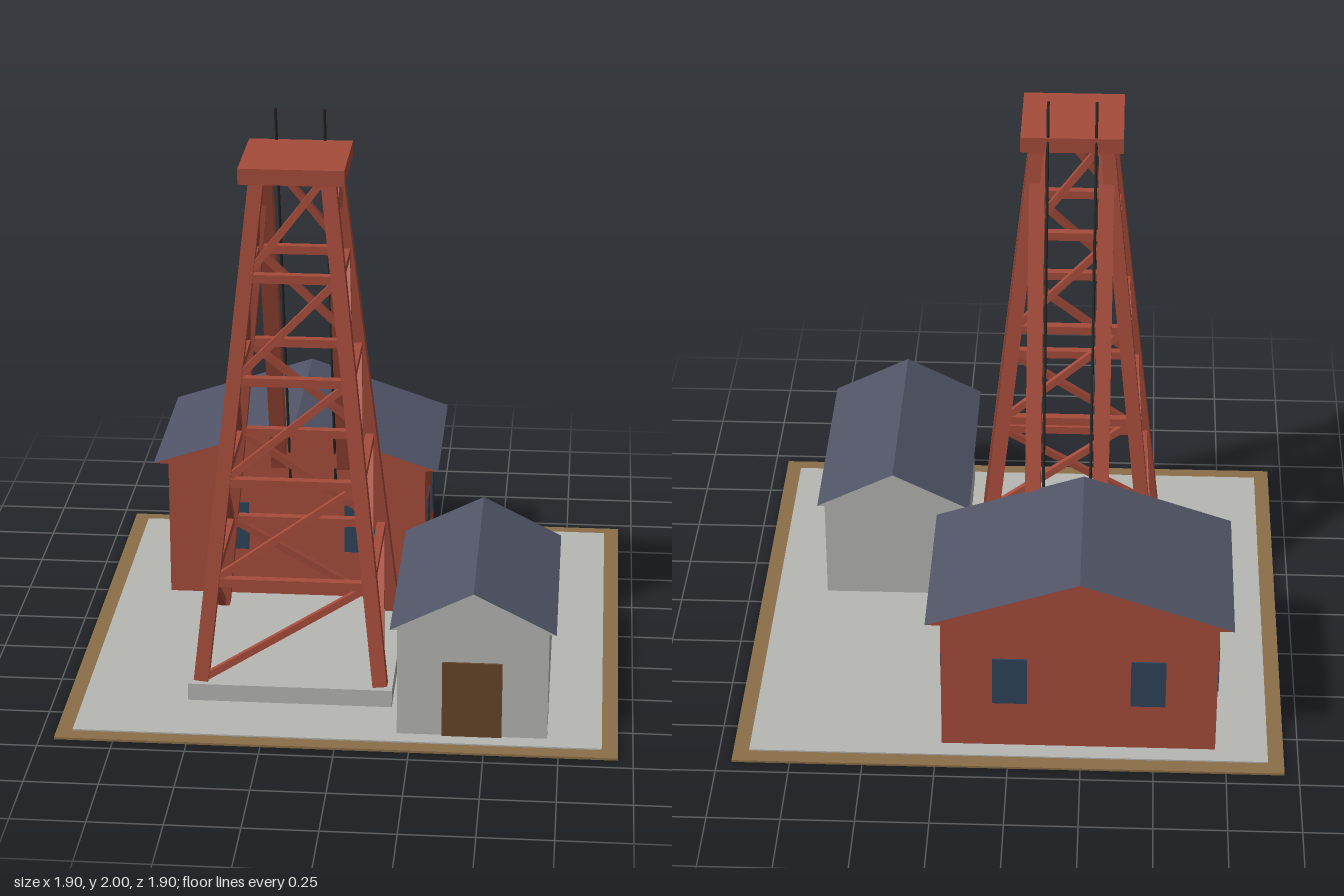
import * as THREE from 'three';

const material = (name, color, extra = {}) => {
  const m = new THREE.MeshStandardMaterial({ color, ...extra });
  m.name = name;
  return m;
};

export function createModel() {
  const red = material('red paint', 0xa64c3b);
  const slate = material('slate roof', 0x505466);
  const concrete = material('concrete grey', 0xb6b6b3);
  const earth = material('earth brown', 0x8a6e48);
  const wood = material('door brown', 0x664628);
  const glass = material('window blue', 0x2e4459);
  const steel = material('cable black', 0x262826);

  const model = new THREE.Group();
  model.name = 'mineHeadframe';

  const add = (parent, name, geometry, mat) => {
    const mesh = new THREE.Mesh(geometry, mat);
    mesh.name = name;
    parent.add(mesh);
    return mesh;
  };
  const group = (name) => {
    const g = new THREE.Group();
    g.name = name;
    model.add(g);
    return g;
  };
  // Box given by its extents on each axis
  const box = (parent, name, mat, [x0, x1], [y0, y1], [z0, z1]) => {
    const mesh = add(parent, name, new THREE.BoxGeometry(x1 - x0, y1 - y0, z1 - z0), mat);
    mesh.position.set((x0 + x1) / 2, (y0 + y1) / 2, (z0 + z1) / 2);
    return mesh;
  };
  // Straight member between two points, square or round
  const beam = (parent, name, mat, a, b, size, round = false) => {
    const dir = b.clone().sub(a);
    const length = dir.length();
    const geometry = round
      ? new THREE.CylinderGeometry(size / 2, size / 2, length, 8)
      : new THREE.BoxGeometry(size, length, size);
    const mesh = add(parent, name, geometry, mat);
    mesh.position.copy(a).add(b).multiplyScalar(0.5);
    mesh.quaternion.setFromUnitVectors(new THREE.Vector3(0, 1, 0), dir.normalize());
    return mesh;
  };
  // Gable roof with its ridge along z; the end faces take the wall colour
  const gableRoof = (parent, wallMat, [x0, x1], [y0, y1], [z0, z1]) => {
    const shape = new THREE.Shape();
    shape.moveTo(x0, y0);
    shape.lineTo(x1, y0);
    shape.lineTo((x0 + x1) / 2, y1);
    shape.closePath();
    const geometry = new THREE.ExtrudeGeometry(shape, { depth: z1 - z0, bevelEnabled: false });
    add(parent, 'roof', geometry, [wallMat, slate]).position.z = z0;
  };

  // Ground
  const ground = group('ground');
  box(ground, 'groundSlab', earth, [-0.95, 0.95], [0, 0.008], [-0.95, 0.95]);
  box(ground, 'yardPaving', concrete, [-0.895, 0.895], [0.004, 0.013], [-0.895, 0.895]);

  // Tower: plinth, four tapering legs, rails and one rising brace per face
  const tower = group('tower');
  const cx = -0.18, cz = 0.295, baseY = 0.075, bayHeight = 0.355, bays = 5;
  box(tower, 'plinth', concrete, [cx - 0.353, cx + 0.353], [0.01, baseY], [cz - 0.353, cz + 0.353]);
  const signs = [[-1, 1], [1, 1], [1, -1], [-1, -1]];
  const corner = (i, level) => {
    const half = THREE.MathUtils.lerp(0.31, 0.118, level / bays);
    const [sx, sz] = signs[i % 4];
    return new THREE.Vector3(cx + sx * half, baseY + level * bayHeight, cz + sz * half);
  };
  for (let i = 0; i < 4; i++) {
    beam(tower, 'leg', red, corner(i, 0), corner(i, bays), 0.05);
    for (let level = 0; level < bays; level++) {
      if (level > 0) beam(tower, 'rail', red, corner(i, level), corner(i + 1, level), 0.03);
      beam(tower, 'brace', red, corner(i, level), corner(i + 1, level + 1), 0.024);
    }
  }
  box(tower, 'topPlatform', red, [cx - 0.177, cx + 0.177], [1.825, 1.88], [cz - 0.177, cz + 0.177]);

  // Raking back struts and hoisting cables
  for (const side of [-1, 1]) {
    const sx = cx + side * 0.12, wx = cx + side * 0.083;
    beam(tower, 'backStrut', red,
      new THREE.Vector3(sx, 0.549, -0.216), new THREE.Vector3(sx, 1.835, 0.21), 0.055);
    beam(tower, 'cable', steel,
      new THREE.Vector3(wx, 0.48, -0.236), new THREE.Vector3(wx, 2, 0.157), 0.01, true);
  }

  // Engine house with two windows on every side
  const house = group('engineHouse');
  const hx = -0.241, hz = -0.535, halfW = 0.473, halfD = 0.297;
  box(house, 'houseWalls', red, [hx - halfW, hx + halfW], [0.01, 0.54], [hz - halfD, hz + halfD]);
  gableRoof(house, red, [hx - 0.522, hx + 0.522], [0.54, 0.715], [hz - 0.334, hz + 0.334]);
  for (const side of [-1, 1]) {
    for (const along of [-1, 1]) {
      const x = hx + along * 0.237, z = hz + along * 0.148;
      const fz = hz + side * (halfD + 0.003), fx = hx + side * (halfW + 0.003);
      box(house, 'window', glass, [x - 0.06, x + 0.06], [0.195, 0.38], [fz - 0.004, fz + 0.004]);
      box(house, 'window', glass, [fx - 0.004, fx + 0.004], [0.195, 0.38], [z - 0.06, z + 0.06]);
    }
  }

  // Shed with a front door
  const shed = group('shed');
  box(shed, 'shedWalls', concrete, [0.203, 0.711], [0.01, 0.408], [0.062, 0.837]);
  gableRoof(shed, concrete, [0.179, 0.735], [0.408, 0.548], [0.036, 0.858]);
  box(shed, 'door', wood, [0.355, 0.557], [0.013, 0.287], [0.836, 0.845]);

  return model;
}
